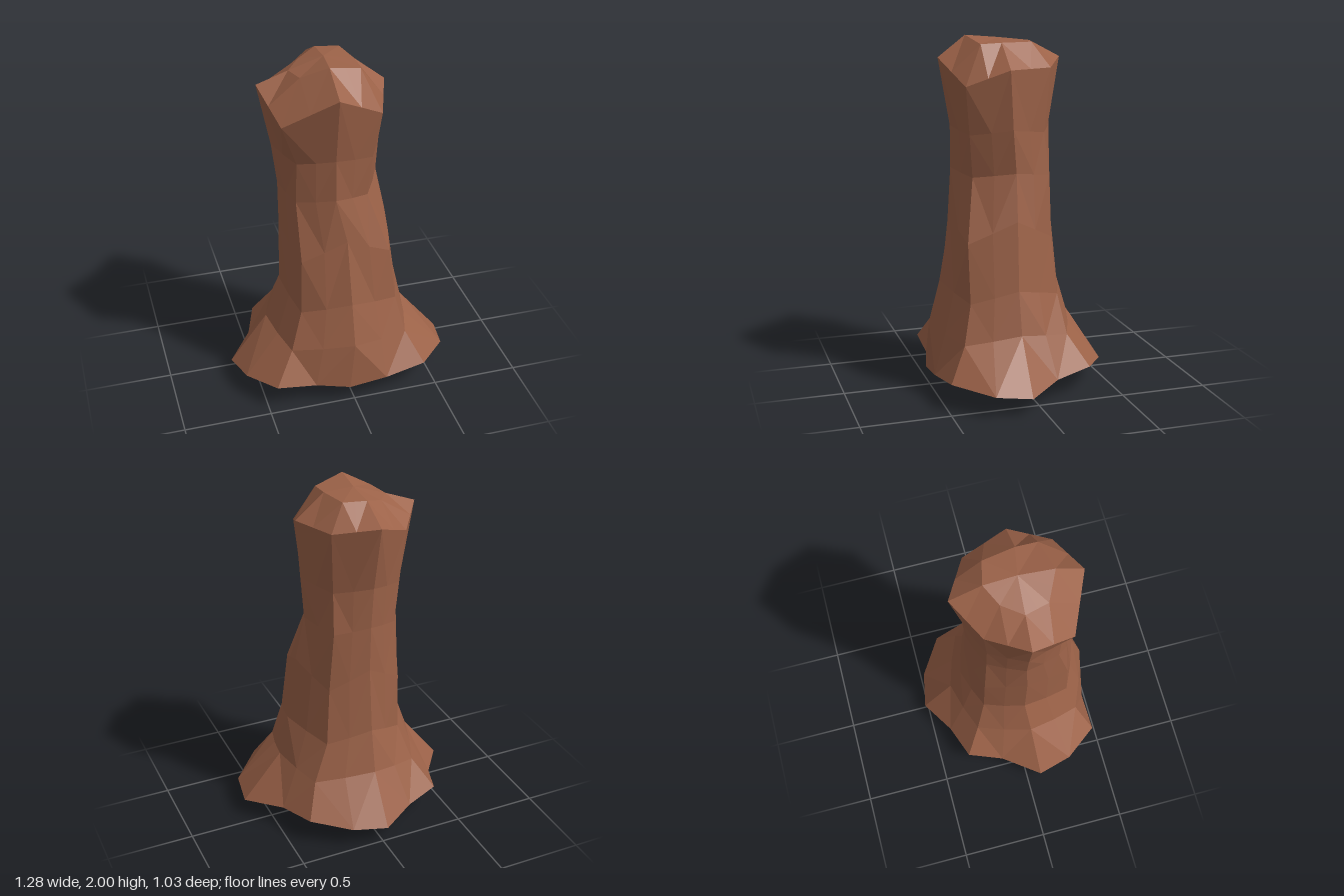
import * as THREE from 'three';

// A ring is 8 ridge points going right-hand side (+x), front (+z), -x, back (-z).
// xz: flat list of x, z pairs; ys: heights, repeated around the ring.
function ring(ys, xz) {
  return Array.from({ length: xz.length / 2 }, (_, i) =>
    new THREE.Vector3(xz[2 * i], ys[i % ys.length], xz[2 * i + 1]));
}

// Add a slightly raised point between neighbouring ridges: 8 points become 16
function subdivide(points, bulge = 1.02) {
  const centre = new THREE.Vector3();
  points.forEach(p => centre.addScaledVector(p, 1 / points.length));
  return points.flatMap((p, i) => {
    const mid = p.clone().lerp(points[(i + 1) % points.length], 0.5);
    mid.x = centre.x + (mid.x - centre.x) * bulge;
    mid.z = centre.z + (mid.z - centre.z) * bulge;
    return [p, mid];
  });
}

// Skin a stack of equal rings, closing both ends with a fan to a point
function loft(rings, bottom, top) {
  const pos = [];
  const n = rings[0].length;
  const tri = (...pts) => pts.forEach(p => pos.push(p.x, p.y, p.z));
  const last = rings[rings.length - 1];
  for (let j = 0; j < n; j++) {
    const k = (j + 1) % n;
    tri(bottom, rings[0][j], rings[0][k]);
    for (let i = 0; i + 1 < rings.length; i++) {
      const a = rings[i][j], b = rings[i][k];
      const c = rings[i + 1][j], d = rings[i + 1][k];
      if (j % 2) { tri(a, c, d); tri(a, d, b); }
      else { tri(a, c, b); tri(b, c, d); }
    }
    tri(last[j], top, last[k]);
  }
  const geometry = new THREE.BufferGeometry();
  geometry.setAttribute('position', new THREE.Float32BufferAttribute(pos, 3));
  geometry.computeVertexNormals();
  return geometry;
}

export function createModel() {
  const group = new THREE.Group();
  group.name = 'stump';

  // Flared foot, with its full 16-point outline
  const foot = ring([0.10, 0.12, 0.15, 0.125], [
    0.64, 0.08, 0.61, 0.28, 0.43, 0.48, 0.19, 0.515,
    -0.03, 0.515, -0.22, 0.47, -0.45, 0.47, -0.59, 0.28,
    -0.64, 0.08, -0.49, -0.13, -0.42, -0.33, -0.22, -0.40,
    -0.02, -0.52, 0.18, -0.48, 0.39, -0.34, 0.47, -0.12]);

  // Shallow rounded underside
  const bottom = new THREE.Vector3(-0.04, 0, 0.09);
  const underside = foot.map(p => {
    const q = bottom.clone().lerp(p, 0.5);
    q.y = 0.04 + 0.015 * (p.x - p.z);
    return q;
  });

  // Trunk, narrowing upwards
  const trunk = [
    ring([0.38, 0.33], [0.41, 0.07, 0.34, 0.38, 0, 0.50, -0.34, 0.38,
      -0.42, 0.07, -0.31, -0.24, -0.02, -0.34, 0.31, -0.23]),
    ring([0.62, 0.55], [0.355, 0.07, 0.29, 0.33, 0, 0.435, -0.27, 0.33,
      -0.33, 0.05, -0.24, -0.18, -0.03, -0.27, 0.22, -0.20]),
    ring([1.0, 0.88], [0.30, 0.06, 0.245, 0.33, -0.01, 0.365, -0.26, 0.32,
      -0.325, 0.06, -0.24, -0.17, -0.03, -0.235, 0.19, -0.17]),
    ring([1.26, 1.23], [0.245, 0.05, 0.13, 0.27, -0.07, 0.345, -0.27, 0.25,
      -0.325, 0.05, -0.22, -0.15, -0.04, -0.225, 0.16, -0.17]),
    ring([1.5, 1.47], [0.255, 0.07, 0.15, 0.29, -0.07, 0.345, -0.265, 0.26,
      -0.355, 0.05, -0.24, -0.15, -0.05, -0.235, 0.15, -0.14]),
  ];

  // Wider head and its lumpy crown
  const head = ring([1.83, 1.74, 1.88, 1.71, 1.855, 1.78, 1.87, 1.83], [
    0.27, 0.09, 0.19, 0.32, -0.07, 0.41, -0.35, 0.29,
    -0.425, 0.04, -0.27, -0.17, -0.06, -0.30, 0.17, -0.17]);
  const crown = ring([1.965, 1.96, 2.0, 1.93, 1.92, 1.93, 1.965, 1.965], [
    0.10, 0.09, 0.10, 0.21, -0.08, 0.25, -0.22, 0.18,
    -0.25, 0.05, -0.17, -0.06, -0.06, -0.12, 0.07, -0.09]);

  const rings = [underside, foot, ...trunk.map(r => subdivide(r)),
    subdivide(head, 1), subdivide(crown, 1)];
  const mesh = new THREE.Mesh(
    loft(rings, bottom, new THREE.Vector3(-0.06, 1.985, 0.06)),
    new THREE.MeshStandardMaterial({ color: 0x9c6248, flatShading: true }));
  mesh.name = 'trunk';
  group.add(mesh);
  return group;
}
